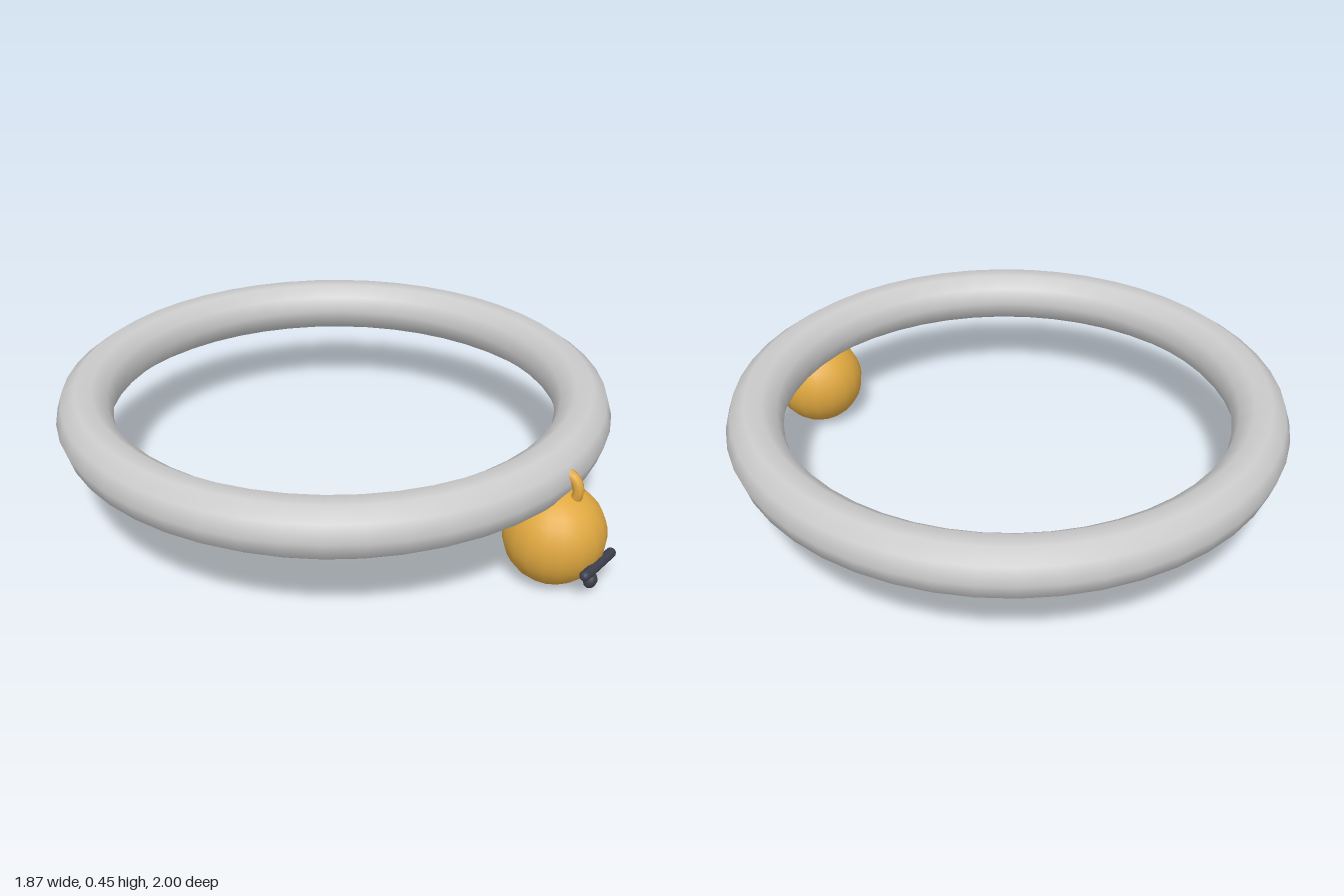
import * as THREE from 'three';

const grey = new THREE.MeshStandardMaterial({ color: 0xcccccc });
const gold = new THREE.MeshStandardMaterial({ color: 0xe0a840 });
const dark = new THREE.MeshStandardMaterial({ color: 0x3c3f4c });

function add(group, name, geometry, material, x, y, z) {
  const mesh = new THREE.Mesh(geometry, material);
  mesh.name = name;
  mesh.position.set(x, y, z);
  group.add(mesh);
  return mesh;
}

export function createModel() {
  const model = new THREE.Group();
  model.name = 'bellCollar';

  // Collar: a flat-lying ring with a ten-sided section
  const ring = new THREE.TorusGeometry(0.843, 0.094, 10, 48);
  ring.rotateX(Math.PI / 2);
  ring.rotateY(Math.PI / 2);
  add(model, 'collar', ring, grey, 0, 0.365, -0.063);

  // Bell hanging at the front of the collar
  const bell = new THREE.Group();
  bell.name = 'bell';
  model.add(bell);
  add(bell, 'bellBody', new THREE.SphereGeometry(0.163, 18, 16), gold, 0, 0.166, 0.824);

  // Hanging loop, standing in the side plane
  const loop = new THREE.TorusGeometry(0.052, 0.018, 8, 20);
  loop.rotateY(Math.PI / 2);
  add(bell, 'bellLoop', loop, gold, 0, 0.338, 0.84);

  // Slot bar across the bell, with a rounded hole below it
  const bar = new THREE.CapsuleGeometry(0.017, 0.16, 4, 10);
  bar.rotateZ(Math.PI / 2);
  add(bell, 'bellSlot', bar, dark, 0, 0.113, 0.982);
  const hole = add(bell, 'bellHole', new THREE.SphereGeometry(0.026, 12, 10), dark, 0, 0.045, 0.963);
  hole.scale.z = 0.8;
  hole.rotation.x = 0.2;

  return model;
}
